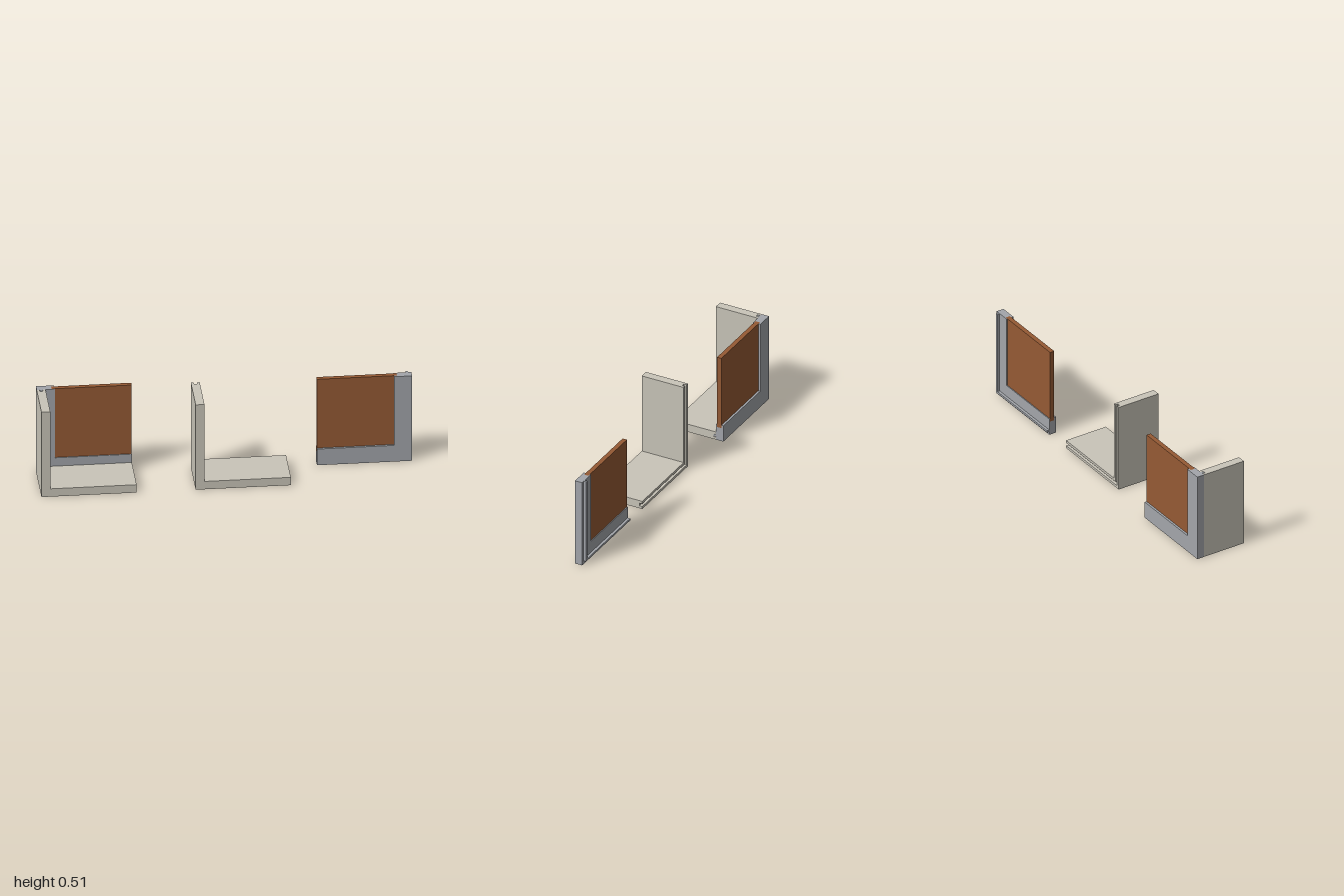
import * as THREE from 'three';

const W = 0.508, H = 0.51;

export function createModel() {
  const carcassMat = new THREE.MeshStandardMaterial({ color: 0xc9c5b9 });
  carcassMat.name = 'beige carcass';
  const frameMat = new THREE.MeshStandardMaterial({ color: 0xa3a6ab });
  frameMat.name = 'grey frame';
  const panelMat = new THREE.MeshStandardMaterial({ color: 0x955a34 });
  panelMat.name = 'brown panel';

  // L-shaped corner piece lying between offsets a and b from the outer edges
  function corner(name, material, a, b, z0, z1) {
    const pts = [[a, a], [W, a], [W, b], [b, b], [b, H], [a, H]];
    const shape = new THREE.Shape(pts.map(p => new THREE.Vector2(...p)));
    const geo = new THREE.ExtrudeGeometry(shape, { depth: z1 - z0, bevelEnabled: false });
    geo.translate(0, 0, z0);
    const mesh = new THREE.Mesh(geo, material);
    mesh.name = name;
    return mesh;
  }

  // Wall and floor with a groove cut along the back edge
  function carcass(name) {
    const g = new THREE.Group();
    g.name = name;
    g.add(
      corner('carcassBody', carcassMat, 0, 0.047, -0.088, 0.148),
      corner('grooveOuterLip', carcassMat, 0, 0.015, -0.105, -0.088),
      corner('grooveInnerLip', carcassMat, 0.032, 0.047, -0.105, -0.088)
    );
    return g;
  }

  // Stile and rail holding a panel, with a tongue for the carcass groove
  function framedPanel(name) {
    const g = new THREE.Group();
    g.name = name;
    g.add(
      corner('frameFace', frameMat, 0, 0.097, -0.148, -0.136),
      corner('frameCore', frameMat, 0, 0.08, -0.136, -0.11),
      corner('frameBackLip', frameMat, 0, 0.097, -0.11, -0.105),
      corner('frameTongue', frameMat, 0.018, 0.03, -0.105, -0.09)
    );
    const panel = new THREE.Mesh(new THREE.BoxGeometry(W - 0.08, H - 0.08, 0.026), panelMat);
    panel.position.set((W + 0.08) / 2, (H + 0.08) / 2, -0.123);
    panel.name = 'panel';
    g.add(panel);
    return g;
  }

  const model = new THREE.Group();
  model.name = 'cabinetCornerSamples';

  // Assembled sample
  const assembled = new THREE.Group();
  assembled.name = 'assembledCorner';
  assembled.add(carcass('assembledCarcass'), framedPanel('assembledFrame'));
  assembled.position.x = -1;

  // Separate carcass
  const separateCarcass = carcass('separateCarcass');
  separateCarcass.position.x = -0.177;

  // Separate frame, turned to face the front
  const separateFrame = framedPanel('separateFrame');
  separateFrame.rotation.y = Math.PI;
  separateFrame.position.set(1, 0, -0.21);

  model.add(assembled, separateCarcass, separateFrame);
  return model;
}
